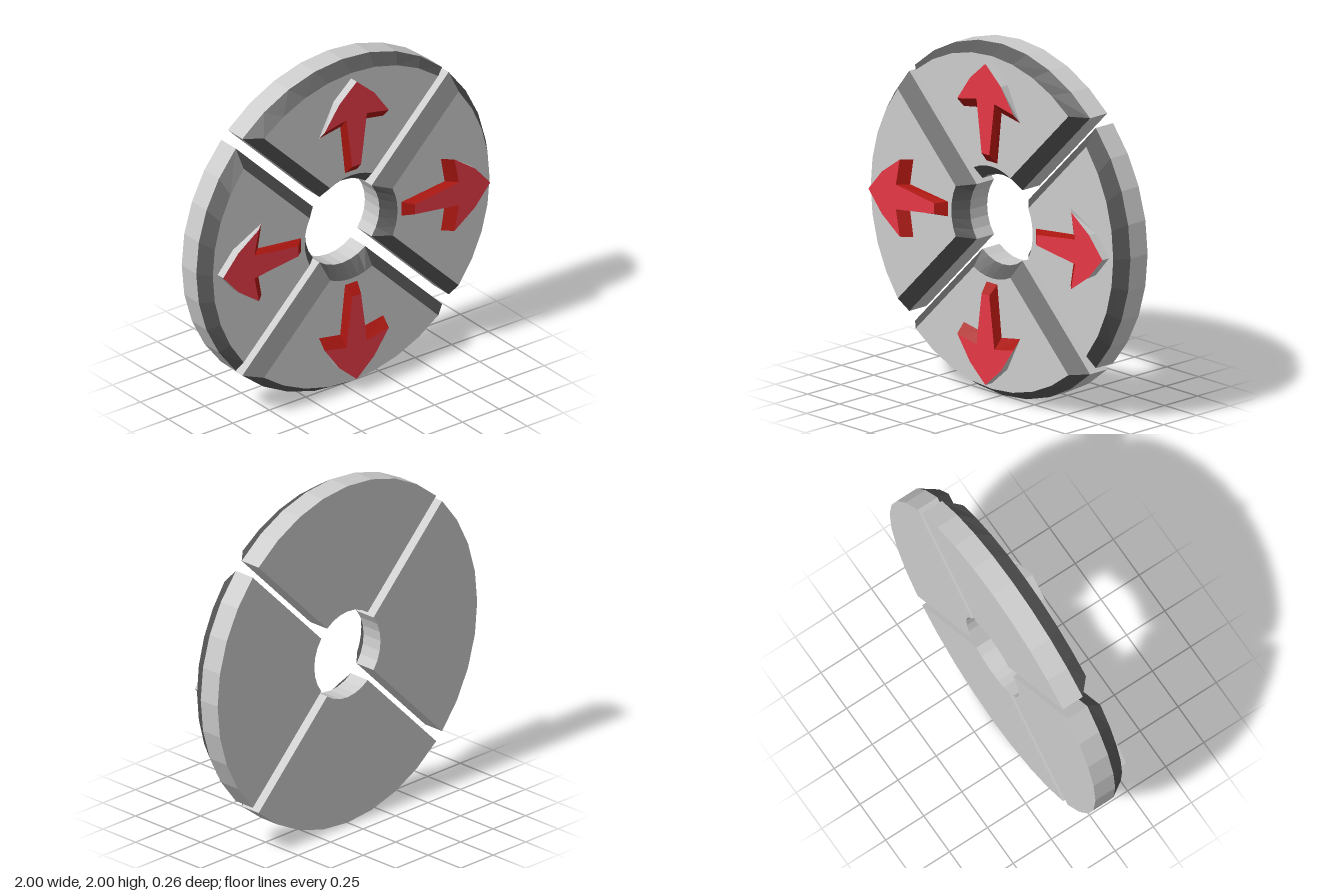
import * as THREE from 'three';

const mat = (color) => new THREE.MeshStandardMaterial({ color, flatShading: true });

// Outline of one quarter wedge pointing up; gap is the offset from the diagonals
function wedgeOutline(outer, inner, gap) {
  const pts = [];
  const arc = (r, steps, dir) => {
    const half = Math.acos(gap / (Math.SQRT2 * r)) - Math.PI / 4;
    for (let i = 0; i <= steps; i++) {
      const t = dir * half * (2 * i / steps - 1);
      pts.push(new THREE.Vector2(-r * Math.sin(t), r * Math.cos(t)));
    }
  };
  arc(outer, 8, 1);
  arc(inner, 6, -1);
  return pts;
}

// Arrow outline from its left half, tip first, mirrored to the right
function arrowOutline(half) {
  const left = half.map(([x, y]) => new THREE.Vector2(-x, y));
  const right = half.slice(1).reverse().map(([x, y]) => new THREE.Vector2(x, y));
  return [...left, ...right];
}

// Wall between two counter-clockwise outlines, limited to the edges that pass the test
function wall(back, zBack, front, zFront, test = () => true) {
  const pos = [];
  back.forEach((a, i) => {
    if (!test(i)) return;
    const j = (i + 1) % back.length;
    const c = back[j], d = front[j], e = front[i];
    pos.push(a.x, a.y, zBack, c.x, c.y, zBack, d.x, d.y, zFront);
    pos.push(a.x, a.y, zBack, d.x, d.y, zFront, e.x, e.y, zFront);
  });
  const geo = new THREE.BufferGeometry();
  geo.setAttribute('position', new THREE.Float32BufferAttribute(pos, 3));
  geo.computeVertexNormals();
  return geo;
}

const cap = (outline, z) => new THREE.ShapeGeometry(new THREE.Shape(outline)).translate(0, 0, z);

export function createModel() {
  const model = new THREE.Group();
  model.name = 'directionPad';
  const grey = mat(0xcccccc), darkGrey = mat(0x585858);
  const red = mat(0xe63946), darkRed = mat(0xaa1610);

  const Z_BACK = -0.13, Z_RIM = 0, Z_FACE = 0.08, Z_ARROW = 0.13;
  const rim = wedgeOutline(1, 0.255, 0.045);
  const face = wedgeOutline(0.948, 0.318, 0.14);

  // Tip, head side, head corner, notch, tail
  const arrowTop = arrowOutline([[0, 0.915], [0.12, 0.81], [0.22, 0.67], [0.07, 0.7], [0.03, 0.4]]);
  const arrowBase = arrowOutline([[0, 0.915], [0.12, 0.81], [0.22, 0.615], [0.075, 0.64], [0.042, 0.345]]);
  const isHeadEdge = (i) => i < 2 || i > 6;

  const parts = [
    ['wedgeSides', wall(rim, Z_BACK, rim, Z_RIM), grey],
    ['wedgeBevel', wall(rim, Z_RIM, face, Z_FACE), darkGrey],
    ['wedgeFace', cap(face, Z_FACE), grey],
    ['wedgeBack', cap(rim, 0).rotateY(Math.PI).translate(0, 0, Z_BACK), grey],
    ['arrowFace', cap(arrowTop, Z_ARROW), red],
    ['arrowHeadSides', wall(arrowBase, Z_FACE, arrowTop, Z_ARROW, isHeadEdge), grey],
    ['arrowBevel', wall(arrowBase, Z_FACE, arrowTop, Z_ARROW, (i) => !isHeadEdge(i)), darkRed],
  ];

  // Four identical buttons around the centre
  ['upButton', 'leftButton', 'downButton', 'rightButton'].forEach((name, k) => {
    const button = new THREE.Group();
    button.name = name;
    for (const [partName, geo, material] of parts) {
      const mesh = new THREE.Mesh(geo, material);
      mesh.name = partName;
      button.add(mesh);
    }
    button.position.y = 1;
    button.rotation.z = k * Math.PI / 2;
    model.add(button);
  });
  return model;
}
